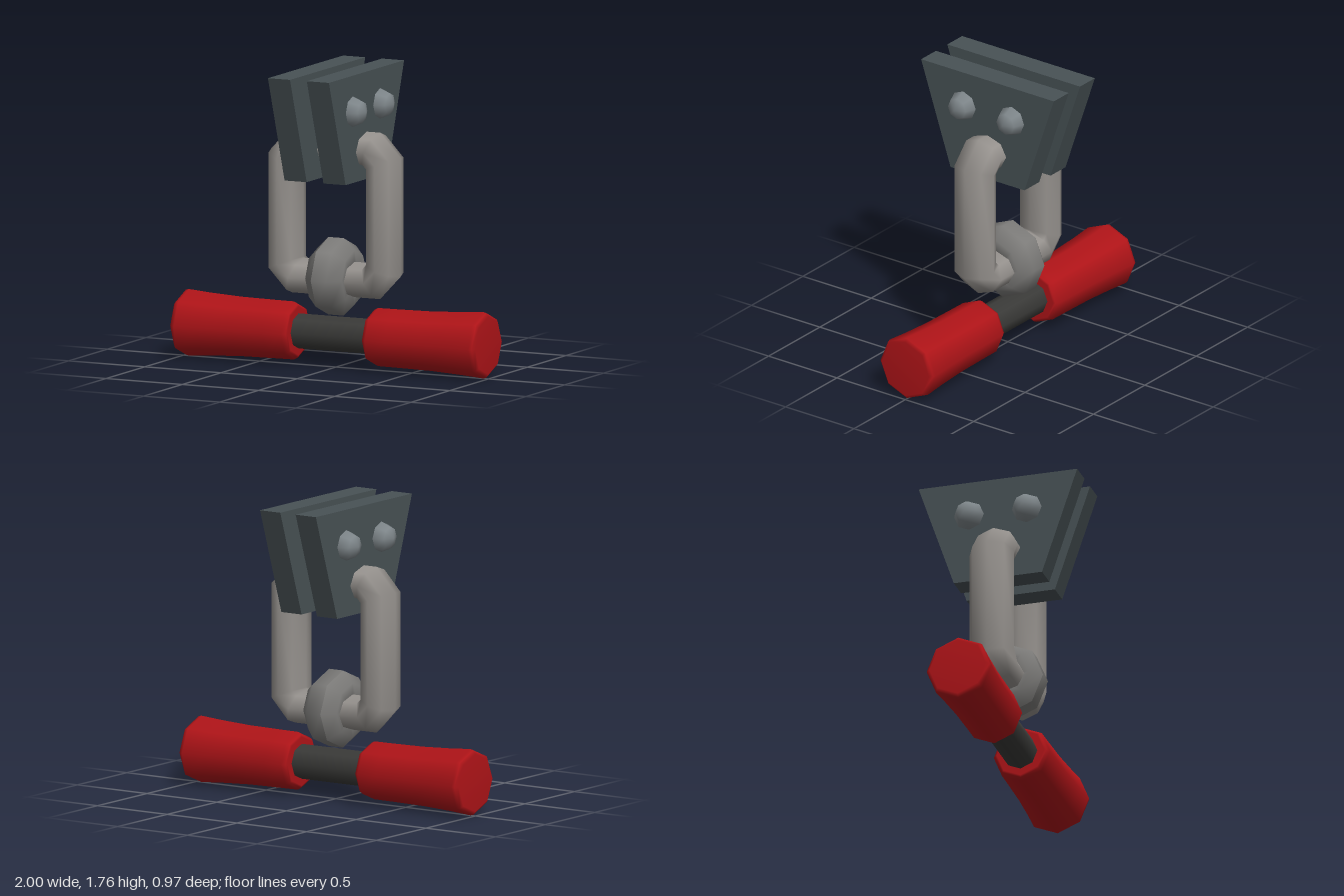
import * as THREE from 'three';

const V2 = (pts) => pts.map(([x, y]) => new THREE.Vector2(x, y));
const mat = (color) => new THREE.MeshStandardMaterial({ color });

const RED = mat(0xb01418), BLACK = mat(0x3a3a38), STEEL = mat(0x95918d);
const RING = mat(0x7c7b79), PLATE = mat(0x485255), BOLT = mat(0x7f878b);

function add(parent, name, geometry, material) {
  const mesh = new THREE.Mesh(geometry, material);
  mesh.name = name;
  parent.add(mesh);
  return mesh;
}

// Eight-sided turned shape along x; profile is [radius, x] with x rising
const turned = (profile) => new THREE.LatheGeometry(V2(profile), 8).rotateZ(-Math.PI / 2);

// Closed chain link: eight stations, each an oval section from inner to outer point
function linkGeometry() {
  const corner = [
    { out: [0.425, 0.35], inn: [0.215, 0.275] },
    { out: [0.29, 0.4925], inn: [0.205, 0.283] },
  ];
  const flip = ({ out, inn }, sx, sy) => ({ out: [out[0] * sx, out[1] * sy], inn: [inn[0] * sx, inn[1] * sy] });
  const [a, b] = corner;
  const stations = [
    flip(a, 1, 1), flip(b, 1, 1), flip(b, -1, 1), flip(a, -1, 1),
    flip(a, -1, -1), flip(b, -1, -1), flip(b, 1, -1), flip(a, 1, -1),
  ];
  const sides = 8, n = stations.length, positions = [], index = [];
  stations.forEach(({ out, inn }, i) => {
    for (let j = 0; j < sides; j++) {
      const t = (j / sides) * Math.PI * 2, c = Math.cos(t);
      const mix = (k) => (out[k] + inn[k]) / 2 + (c * (out[k] - inn[k])) / 2;
      positions.push(mix(0), mix(1), Math.sin(t) * 0.137);
      const i2 = (i + 1) % n, j2 = (j + 1) % sides;
      const p = i * sides + j, q = i2 * sides + j, r = i2 * sides + j2, s = i * sides + j2;
      index.push(p, q, r, p, r, s);
    }
  });
  const g = new THREE.BufferGeometry();
  g.setAttribute('position', new THREE.Float32BufferAttribute(positions, 3));
  g.setIndex(index);
  g.computeVertexNormals();
  return g;
}

export function createModel() {
  const model = new THREE.Group();
  model.name = 'hangingHandle';

  // Handle bar and two flared grips
  const handle = new THREE.Group();
  handle.name = 'handle';
  handle.position.y = 0.2;
  model.add(handle);
  add(handle, 'rod', turned([[0.104, -0.3], [0.104, 0.3]]), BLACK);
  const grip = turned([
    [0, 0.245], [0.145, 0.245], [0.158, 0.25], [0.172, 0.275], [0.173, 0.4], [0.176, 0.62],
    [0.186, 0.82], [0.197, 0.965], [0.192, 0.985], [0.172, 1], [0, 1],
  ]);
  add(handle, 'leftGrip', grip, RED);
  add(handle, 'rightGrip', grip, RED).rotation.y = Math.PI;

  // Thick ring welded to the rod
  const section = [];
  for (let i = 0; i <= 8; i++) {
    const t = ((i - 0.5) / 8) * Math.PI * 2;
    section.push([0.113 + 0.126 * Math.cos(t), 0.13 * Math.sin(t)]);
  }
  add(model, 'ring', turned(section), RING).position.y = 0.54;

  // Long chain link
  add(model, 'chainLink', linkGeometry(), STEEL).position.y = 0.9175;

  // Pair of tapered plates with domed bolts on the outside
  const outline = new THREE.Shape(V2([[-0.27, 1.13], [0.27, 1.13], [0.485, 1.765], [-0.485, 1.765]]));
  const plate = new THREE.ExtrudeGeometry(outline, { depth: 0.145, bevelEnabled: false })
    .translate(0, 0, 0.055).rotateY(Math.PI / 2);
  const dome = new THREE.SphereGeometry(0.091, 8, 4).rotateZ(-Math.PI / 2);
  for (const [side, turn] of [['left', 0], ['right', Math.PI]]) {
    const bracket = new THREE.Group();
    bracket.name = side + 'Bracket';
    bracket.rotation.y = turn;
    model.add(bracket);
    add(bracket, side + 'Plate', plate, PLATE);
    for (const z of [-0.177, 0.177]) add(bracket, 'bolt', dome, BOLT).position.set(0.199, 1.553, z);
  }
  return model;
}
